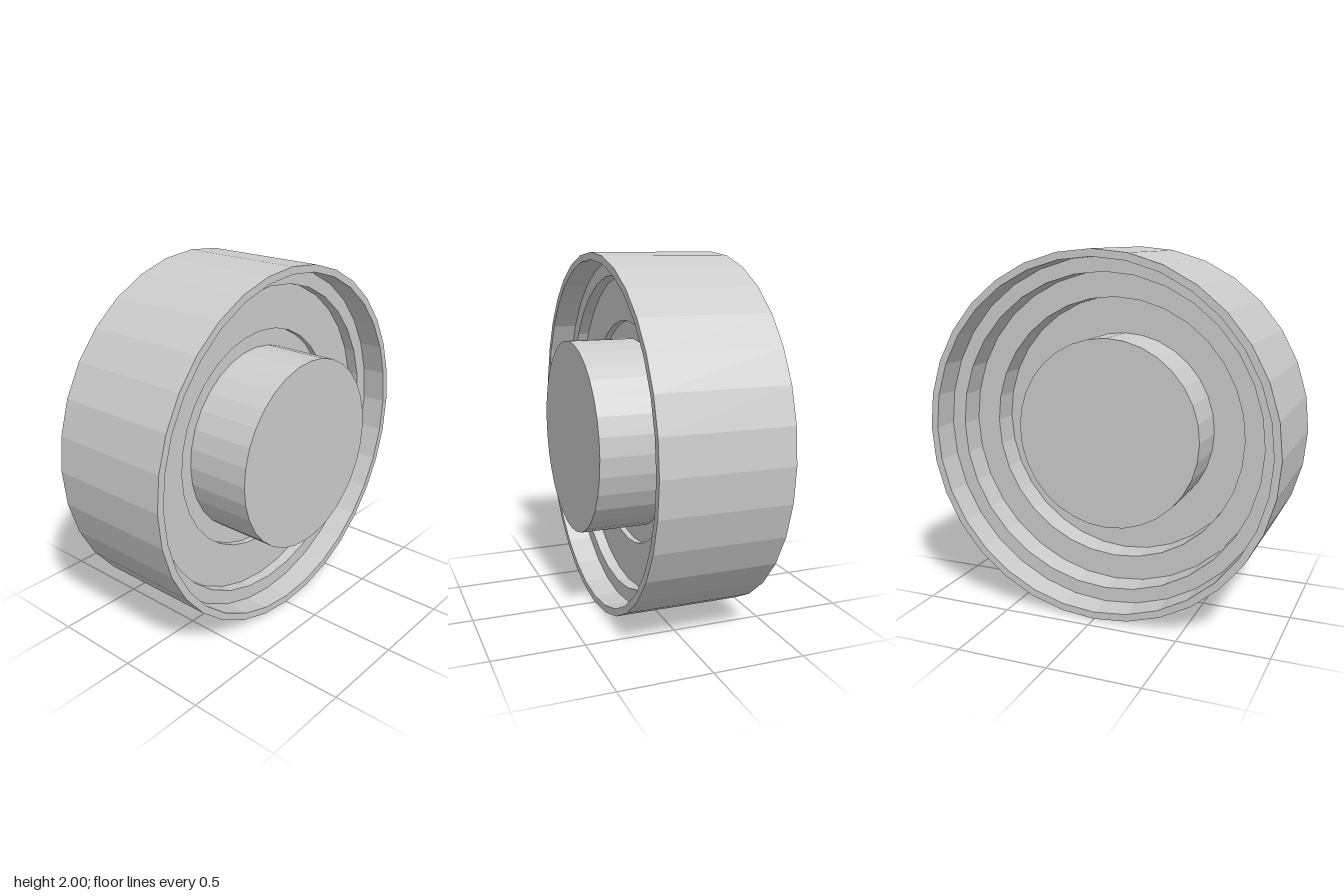
import * as THREE from 'three';

const SIDES = 32;
const material = new THREE.MeshStandardMaterial({ color: 0xcccccc, flatShading: true });

// Turn a [radius, z] profile around the z axis
function turned(name, profile) {
  const points = profile.map(([r, z]) => new THREE.Vector2(r, z));
  const geometry = new THREE.LatheGeometry(points, SIDES);
  geometry.rotateX(Math.PI / 2);
  const mesh = new THREE.Mesh(geometry, material);
  mesh.name = name;
  return mesh;
}

export function createModel() {
  const group = new THREE.Group();
  group.name = 'wheel';

  // Stepped rim with its thin web, from the back of the web around to the front
  const rim = turned('rim', [
    [0.53, 0.04],
    [0.74, 0.04], [0.74, -0.11],
    [0.88, -0.11], [0.88, -0.26],
    [0.96, -0.26], [0.96, -0.42],
    [1, -0.42], [1, 0.29],
    [0.96, 0.29], [0.96, 0.15],
    [0.88, 0.15], [0.88, 0.085],
    [0.63, 0.085], [0.63, 0.05],
    [0.53, 0.05],
  ]);

  // Solid hub standing out at the front and sunk at the back
  const hub = turned('hub', [[0, -0.24], [0.53, -0.24], [0.53, 0.42], [0, 0.42]]);

  group.add(rim, hub);
  for (const part of group.children) part.position.y = 1;
  return group;
}
